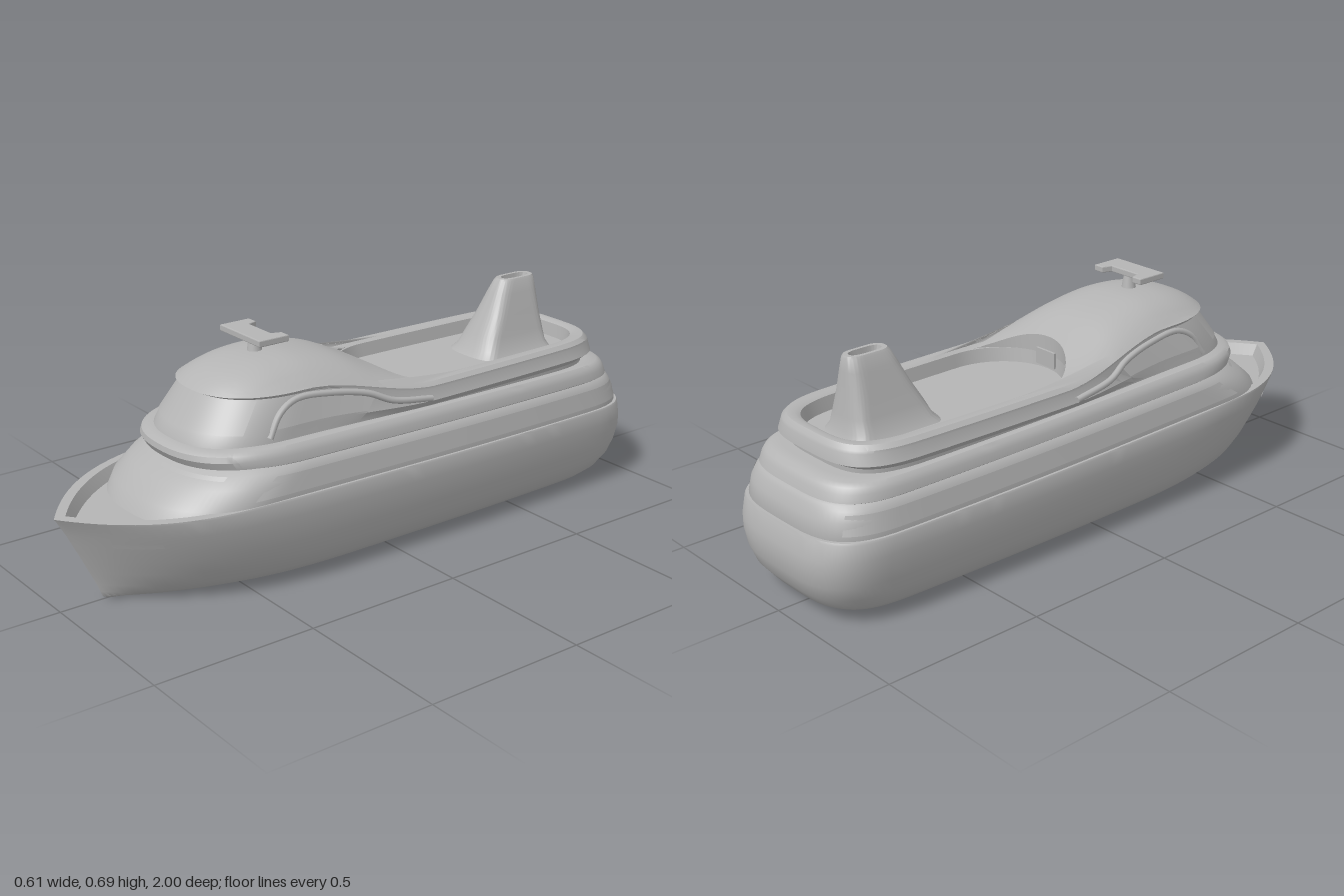
import * as THREE from 'three';
import { toCreasedNormals } from 'three/addons/utils/BufferGeometryUtils.js';

const BOW = 24, SIDE = 24, STERN = 16, M = BOW + SIDE + STERN, N = 2 * M;
const smooth = THREE.MathUtils.smoothstep;
// gentle rise of the decks towards the bow, and taper towards the stern
const sheer = z => 0.017 * Math.min(z, 0.5) - 0.03 * Math.max(0, z - 0.5);
const taper = z => 1 - 0.11 * Math.max(0, -z) ** 2;
// blend from low aft deck (0) to tall wheelhouse (1)
const rise = z => smooth(z, -0.15, 0.3);
const shoulder = z => 0.487 + 0.075 * rise(z);

// closed plan outline, from the bow along +x to the stern and back
function ring(w, zf, zb, y, { L = 0.3, Ls = 0.25, p = 0, e = 2.4, es = 3.5, f = () => 1 } = {}) {
  const half = [];
  for (let i = 0; i < BOW; i++) {
    const a = i / BOW * Math.PI / 2, s = (i / BOW) ** 1.5;
    if (p) half.push([w * (1 - (1 - s) ** p), zf - L * s]);
    else half.push([w * Math.sin(a) ** (2 / e), zf - L + L * Math.cos(a) ** (2 / e)]);
  }
  for (let i = 0; i < SIDE; i++) half.push([w, THREE.MathUtils.lerp(zf - L, zb + Ls, i / SIDE)]);
  for (let i = 0; i <= STERN; i++) {
    const a = i / STERN * Math.PI / 2;
    half.push([i === STERN ? 0 : w * Math.cos(a) ** (2 / es), zb + Ls - Ls * Math.sin(a) ** (2 / es)]);
  }
  const yAt = typeof y === 'function' ? y : z => y + sheer(z);
  const pts = half.map(([x, z]) => new THREE.Vector3(x * taper(z) * f(z), yAt(z), z));
  for (let i = M - 1; i > 0; i--) pts.push(new THREE.Vector3(-pts[i].x, pts[i].y, pts[i].z));
  return pts;
}

function build(points, index, crease = 0.6) {
  const g = new THREE.BufferGeometry().setFromPoints(points);
  g.setIndex(index);
  return toCreasedNormals(g, crease);
}

// skin over stacked rings, with optional end caps
function loft(rings, { bottom = false, top = true } = {}) {
  const idx = [];
  for (let i = 0; i < rings.length - 1; i++) for (let j = 0; j < N; j++) {
    const a = i * N + j, b = i * N + (j + 1) % N;
    idx.push(a, b, a + N, b, b + N, a + N);
  }
  const cap = (o, up) => {
    for (let j = 0; j < M; j++) {
      const a = o + j, b = a + 1, c = o + (N - j) % N, d = o + N - j - 1;
      if (up) idx.push(a, b, c, b, d, c); else idx.push(a, c, b, b, c, d);
    }
  };
  if (bottom) cap(0, false);
  if (top) cap((rings.length - 1) * N, true);
  return build(rings.flat(), idx);
}

// thin plate lying just outside the wall between two rings
function panel(A, B, j0, j1, v0, v1, out = 0.003) {
  const pts = [], idx = [], at = (R, j) => R[(j + N) % N];
  for (let j = j0; j <= j1; j++) {
    const d = at(A, j + 1).clone().sub(at(A, j - 1));
    const n = new THREE.Vector3(-d.z, 0, d.x).normalize().multiplyScalar(out);
    for (const v of [v0, v1]) pts.push(at(A, j).clone().lerp(at(B, j), v).add(n));
    if (j < j1) {
      const a = (j - j0) * 2;
      idx.push(a, a + 2, a + 1, a + 2, a + 3, a + 1);
    }
  }
  return build(pts, idx);
}

export function createModel() {
  const ship = new THREE.Group();
  ship.name = 'ship';
  const grey = new THREE.MeshStandardMaterial({ color: 0xb4b4b4, side: THREE.DoubleSide });
  grey.name = 'hull grey';
  const add = (name, geometry) => {
    const m = new THREE.Mesh(geometry, grey);
    m.name = name;
    ship.add(m);
    return m;
  };

  // hull: width, bow z, stern z, height, bow fullness
  const hull = [
    [0.13, 0.85, -0.80, 0.0, 2.6], [0.19, 0.865, -0.87, 0.008, 2.8], [0.225, 0.872, -0.91, 0.024, 3],
    [0.252, 0.882, -0.945, 0.05, 3.2], [0.275, 0.903, -0.978, 0.095, 3.4], [0.29, 0.926, -0.994, 0.145, 3.6],
    [0.30, 0.95, -1, 0.195, 3.8], [0.304, 0.967, -0.998, 0.23, 3.9], [0.307, 0.995, -0.985, 0.28, 4],
    [0.304, 1, -0.982, 0.2865, 4], [0.285, 0.965, -0.965, 0.2865, 4], [0.275, 0.945, -0.955, 0.25, 4],
  ].map(([w, zf, zb, y, p]) => ring(w, zf, zb, z => y + sheer(z) * Math.min(1, y / 0.2), { L: 0.8, p }));
  add('hull', loft(hull, { bottom: true }));
  add('leftHawseSlot', panel(hull[6], hull[7], 5, 9, 0.1, 0.5));
  add('rightHawseSlot', panel(hull[6], hull[7], N - 9, N - 5, 0.1, 0.5));

  // lower cabin tier
  const low = [
    [0.292, 0.78, -0.965, 0.25], [0.297, 0.755, -0.975, 0.29], [0.291, 0.70, -0.966, 0.335],
    [0.284, 0.65, -0.952, 0.362], [0.272, 0.625, -0.945, 0.374], [0.262, 0.61, -0.93, 0.382],
  ].map(a => ring(...a));
  add('lowerCabin', loft(low));
  add('lowerFrontWindow', panel(low[1], low[3], -12, 12, 0.4, 1));
  add('leftLowerWindows', panel(low[1], low[3], 20, 56, 0.15, 0.9));
  add('rightLowerWindows', panel(low[1], low[3], N - 56, N - 20, 0.15, 0.9));

  // promenade deck with a rounded lip
  add('promenadeDeck', loft([
    [0.262, 0.62, -0.925, 0.37], [0.276, 0.655, -0.942, 0.38], [0.273, 0.668, -0.934, 0.402],
    [0.266, 0.665, -0.925, 0.418], [0.256, 0.652, -0.912, 0.427], [0.235, 0.62, -0.88, 0.429],
  ].map(a => ring(...a))));

  // upper cabin, outer rail and sunken aft deck
  const narrow = k => ({ L: 0.25, f: z => 1 - k * rise(z) });
  const up = [
    ring(0.235, 0.635, -0.85, 0.405, narrow(0)),
    ring(0.238, 0.63, -0.852, z => 0.428 + 0.01 * rise(z), narrow(0.05)),
    ring(0.255, 0.61, -0.882, z => 0.447 + 0.018 * rise(z), narrow(0.1)),
    ring(0.243, 0.545, -0.876, z => shoulder(z) - 0.008, narrow(0.16)),
    ring(0.243, 0.56, -0.872, shoulder, narrow(0.15)),
    ring(0.231, 0.5, -0.862, z => shoulder(z) + 0.012 * (1 - rise(z)), narrow(0.15)),
    ring(0.205, 0.1, -0.845, () => 0.5, { L: 0.25 }),
    ring(0.192, 0, -0.832, () => 0.493, { L: 0.2, e: 2 }),
    ring(0.186, -0.005, -0.826, () => 0.45, { L: 0.2, e: 2 }),
  ];
  add('upperCabin', loft(up));
  add('wheelhouseWindow', panel(up[2], up[3], -15, 15, 0.03, 0.97));
  add('leftUpperWindow', panel(up[2], up[3], 21, 30, 0.1, 0.8));
  add('rightUpperWindow', panel(up[2], up[3], N - 30, N - 21, 0.1, 0.8));

  // domed wheelhouse roof sweeping down to the aft deck
  const roofLine = new THREE.SplineCurve([
    [-0.9, 0.5], [-0.2, 0.5], [-0.1, 0.508], [0, 0.55], [0.12, 0.603],
    [0.25, 0.63], [0.36, 0.633], [0.46, 0.627], [0.57, 0.62],
  ].map(a => new THREE.Vector2(...a))).getPoints(160);
  const roofAt = z => {
    const i = Math.max(1, roofLine.findIndex(q => q.x >= z));
    const a = roofLine[i - 1], b = roofLine[i];
    return a.y + (b.y - a.y) * (z - a.x) / (b.x - a.x);
  };
  const U = 48, S = 40, roof = [], faces = [];
  for (let i = 0; i <= S + 1; i++) for (let j = 0; j <= U; j++) {
    const u = Math.sin((j / U - 0.5) * Math.PI), au = Math.min(1, Math.abs(u));
    const s = Math.min(1, i / S) ** 1.5;
    const front = 0.56 - 0.25 * (1 - (1 - au ** 2.4) ** (1 / 2.4));
    const back = -0.2 * (1 - Math.sqrt(1 - Math.min(1, au * 0.232 / 0.19) ** 2));
    const z = front + (back - front) * s;
    const x = u * 0.243 * (1 - 0.15 * rise(z)) * taper(z);
    const bulge = (1 - au ** 3) * (1 - (1 - s) ** 8);
    const y = shoulder(z) + (roofAt(z) - shoulder(z)) * bulge;
    roof.push(new THREE.Vector3(x, i > S ? 0.485 : y, z));
    if (i <= S && j < U) {
      const a = i * (U + 1) + j, b = a + U + 1;
      faces.push(a, a + 1, b, a + 1, b + 1, b);
    }
  }
  add('wheelhouseRoof', build(roof, faces));

  // swooping side arches
  for (const [side, name] of [[1, 'leftArch'], [-1, 'rightArch']]) {
    const path = new THREE.CatmullRomCurve3([
      [0.252, 0.455, -0.12], [0.246, 0.478, 0.02], [0.228, 0.512, 0.1], [0.212, 0.535, 0.22],
      [0.205, 0.54, 0.34], [0.212, 0.51, 0.4], [0.222, 0.45, 0.44],
    ].map(([x, y, z]) => new THREE.Vector3(x * side, y, z)));
    add(name, new THREE.TubeGeometry(path, 40, 0.01, 8));
  }

  // door in the forward wall of the aft deck
  add('deckDoor', new THREE.BoxGeometry(0.08, 0.05, 0.008)).position.set(0, 0.485, -0.012);

  // funnel with flared foot and hollow top
  add('funnel', loft([
    [0.105, -0.47, -0.775, 0.449], [0.09, -0.49, -0.765, 0.47], [0.078, -0.51, -0.76, 0.51],
    [0.062, -0.545, -0.752, 0.57], [0.046, -0.578, -0.746, 0.635], [0.035, -0.598, -0.742, 0.672],
    [0.031, -0.605, -0.738, 0.679], [0.02, -0.62, -0.725, 0.679], [0.018, -0.625, -0.72, 0.655],
  ].map(([w, zf, zb, y]) => ring(w, zf, zb, () => y, { L: 0.045, Ls: 0.045, e: 2.6, es: 2.6 }))));

  // radar mast and notched bar
  add('radarMast', new THREE.CylinderGeometry(0.015, 0.025, 0.06, 24)).position.set(0, 0.645, 0.335);
  const bar = new THREE.Shape([
    [-0.1, 0.385], [-0.1, 0.285], [-0.065, 0.285], [-0.055, 0.315], [0.055, 0.315],
    [0.065, 0.285], [0.1, 0.285], [0.1, 0.385],
  ].map(a => new THREE.Vector2(...a)));
  const barGeo = new THREE.ExtrudeGeometry(bar, {
    depth: 0.014, bevelThickness: 0.003, bevelSize: 0.003, bevelOffset: -0.003, bevelSegments: 2,
  });
  add('radarBar', barGeo.rotateX(Math.PI / 2)).position.y = 0.688;

  return ship;
}
